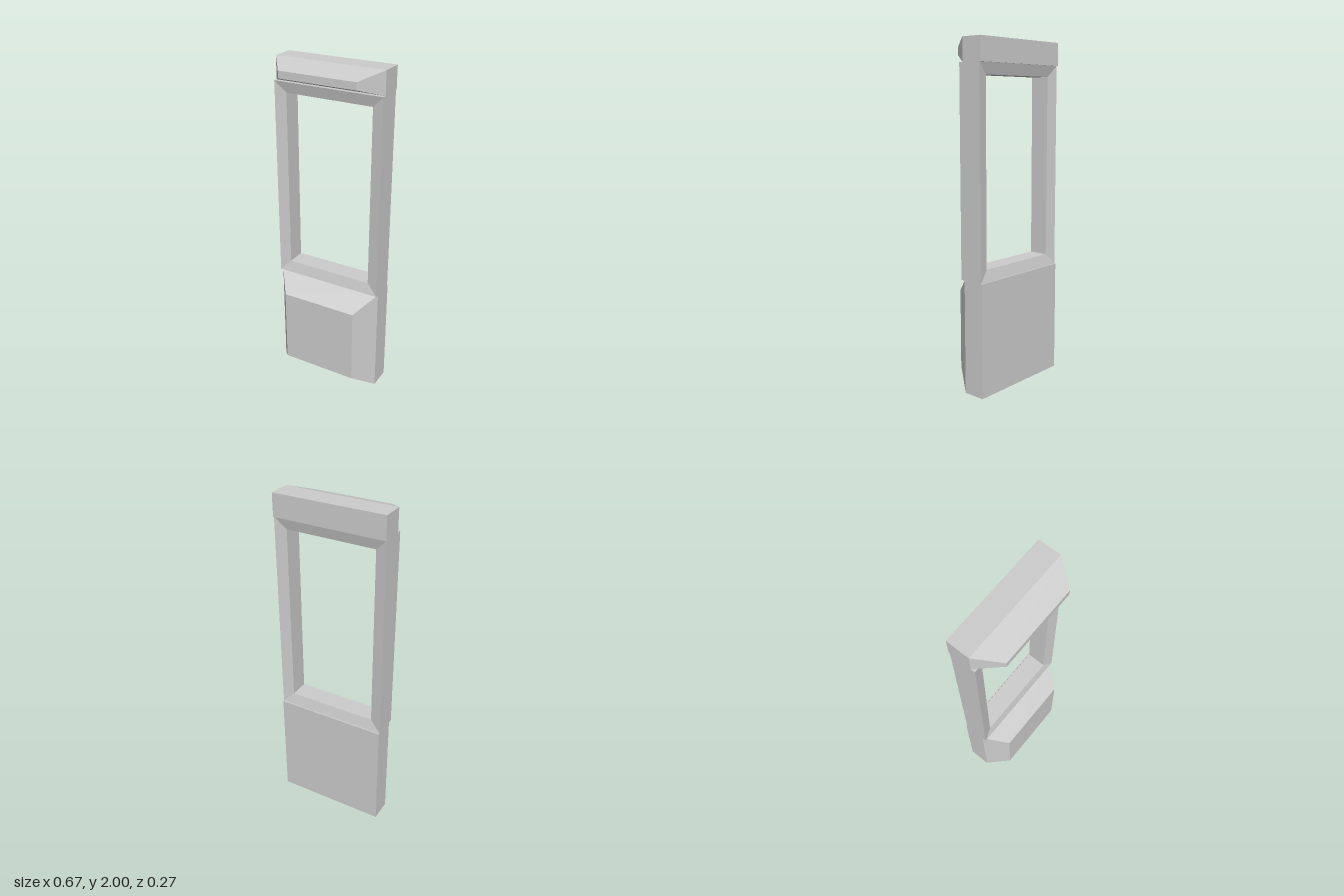
import * as THREE from 'three';

// Joins rectangular rings [halfWidth, bottom, top, z] into a flat-faced solid.
// A closed loft links the last ring to the first and leaves an opening.
function loft(name, rings, closed) {
  const corners = rings.map(([w, y0, y1, z]) => [[-w, y0, z], [w, y0, z], [w, y1, z], [-w, y1, z]]);
  const pos = [];
  const quad = (a, b, c, d) => pos.push(...a, ...b, ...c, ...a, ...c, ...d);
  const n = corners.length;
  for (let r = 0; r < (closed ? n : n - 1); r++) {
    const a = corners[r], b = corners[(r + 1) % n];
    for (let i = 0; i < 4; i++) {
      const j = (i + 1) % 4;
      quad(a[i], a[j], b[j], b[i]);
    }
  }
  if (!closed) {
    const [p, q, r, s] = corners[0];
    quad(s, r, q, p);
    quad(...corners[n - 1]);
  }
  const geometry = new THREE.BufferGeometry();
  geometry.setAttribute('position', new THREE.Float32BufferAttribute(pos, 3));
  geometry.computeVertexNormals();
  const mesh = new THREE.Mesh(geometry, new THREE.MeshStandardMaterial({ color: 0xcccccc, flatShading: true }));
  mesh.name = name;
  return mesh;
}

export function createModel() {
  const group = new THREE.Group();
  group.name = 'windowPanel';
  const W = 0.333, D = 0.133, inner = 0.234;

  // Solid lower panel with a raised, chamfered front
  group.add(loft('lowerPanel', [
    [W, 0, 0.667, -D], [W, 0, 0.667, 0], [inner, 0.1, 0.568, D],
  ], false));

  // Open frame whose front and back faces slope in towards the opening
  group.add(loft('windowFrame', [
    [W, 0.667, 1.867, -0.125], [W, 0.667, 1.867, 0.025],
    [0.267, 0.734, 1.802, 0.008], [0.267, 0.734, 1.802, -0.108],
  ], true));

  // Header beam with a tapered front
  group.add(loft('headerBeam', [
    [W, 1.867, 2, -D], [W, 1.867, 2, 0], [inner, 1.914, 1.956, D],
  ], false));

  return group;
}
